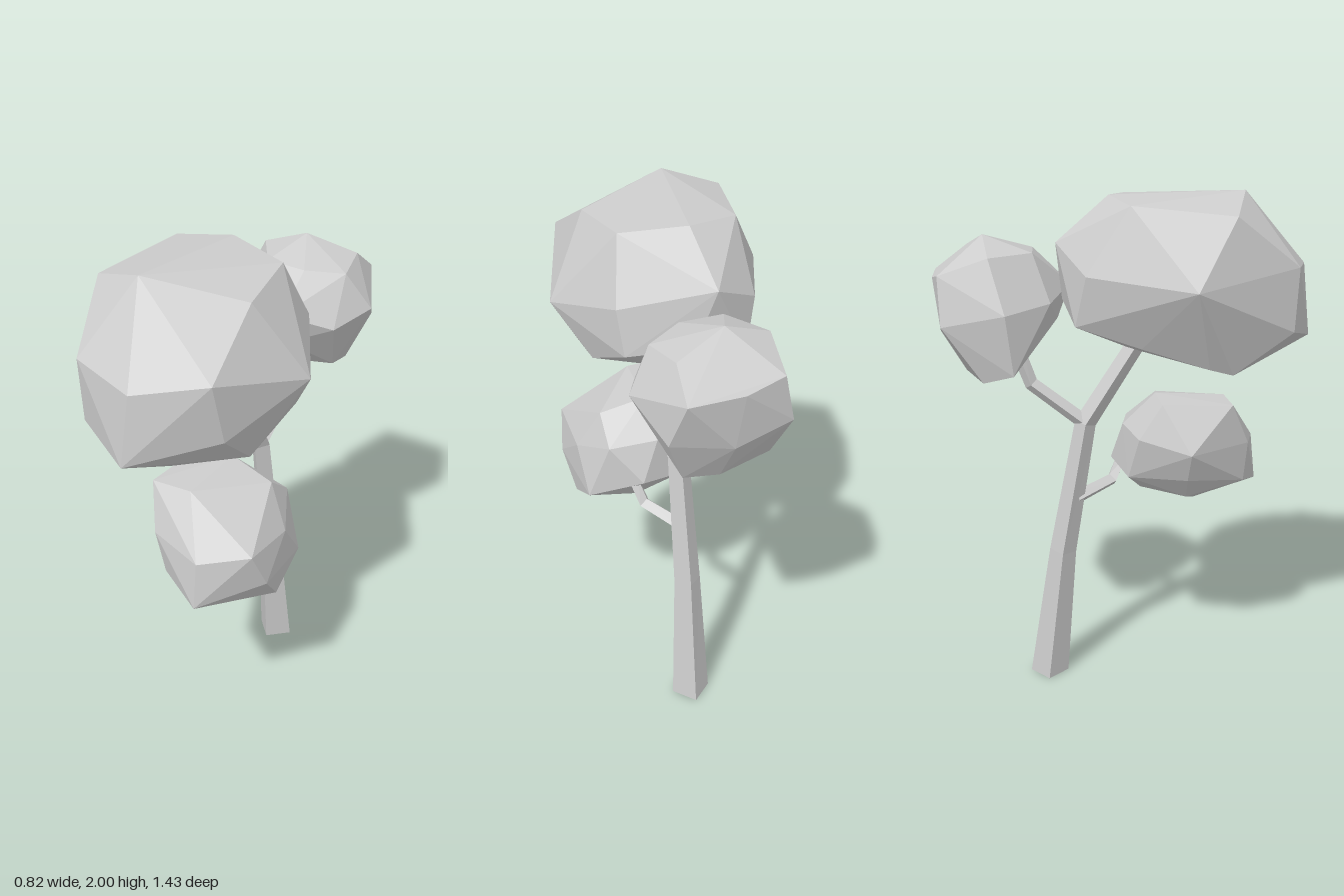
import * as THREE from 'three';
import { ConvexGeometry } from 'three/addons/geometries/ConvexGeometry.js';

const clay = new THREE.MeshStandardMaterial({ color: 0xcccccc, flatShading: true });
clay.name = 'light grey';

// Four-sided limb swept along [x, y, z, radius] stations bending in the yz plane
function limb(name, path) {
  const last = path.length - 1;
  const geo = new THREE.CylinderGeometry(1, 1, last, 4, last);
  const pos = geo.attributes.position;
  for (let i = 0; i < pos.count; i++) {
    const k = Math.round(pos.getY(i) + last / 2);
    const [x, y, z, r] = path[k];
    const a = path[Math.max(k - 1, 0)], b = path[Math.min(k + 1, last)];
    // the ring standing on the ground stays level
    const tilt = y === 0 ? 0 : Math.atan2(b[2] - a[2], b[1] - a[1]);
    const u = pos.getX(i) * r, v = pos.getZ(i) * r;
    pos.setXYZ(i, x + u, y - v * Math.sin(tilt), z + v * Math.cos(tilt));
  }
  geo.computeVertexNormals();
  const mesh = new THREE.Mesh(geo, clay);
  mesh.name = name;
  return mesh;
}

// Faceted leaf clump spanned by its corner points
function clump(name, corners) {
  const points = corners.map((c) => new THREE.Vector3(...c));
  const mesh = new THREE.Mesh(new ConvexGeometry(points), clay);
  mesh.name = name;
  return mesh;
}

export function createModel() {
  const tree = new THREE.Group();
  tree.name = 'tree';

  // Trunk and back branch
  tree.add(
    limb('trunk', [
      [0, 0, -0.307, 0.077], [0, 0.55, -0.243, 0.053],
      [0.01, 1.09, -0.147, 0.042], [0.015, 1.42, 0.06, 0.036],
    ]),
    limb('backBranch', [
      [0.01, 1.09, -0.15, 0.03], [0.01, 1.25, -0.355, 0.028], [0.01, 1.4, -0.41, 0.028],
    ]),
  );

  // Front branch, swung out to the left
  const frontBranch = limb('frontBranch', [
    [0, 0.775, 0, 0.03], [0, 0.81, 0.19, 0.027], [0, 0.9, 0.24, 0.025],
  ]);
  frontBranch.position.z = -0.19;
  frontBranch.rotation.y = 0.67;
  tree.add(frontBranch);

  // Large crown
  tree.add(clump('mainCrown', [
    // top
    [-0.095, 2.0, 0.44], [0.25, 1.935, 0.29], [0.19, 1.957, 0.005],
    [-0.055, 1.98, -0.055], [-0.25, 1.965, 0.02], [-0.31, 1.935, 0.39],
    // middle
    [0.04, 1.71, 0.69], [0.295, 1.77, 0.58], [0.41, 1.645, 0.165], [0.23, 1.725, -0.115],
    [-0.1, 1.815, -0.25], [-0.275, 1.72, -0.14], [-0.41, 1.685, 0.25], [-0.22, 1.74, 0.63],
    // lower ring
    [0.015, 1.437, 0.715], [0.3, 1.535, 0.52], [0.285, 1.455, 0.045], [0.21, 1.55, -0.146],
    [-0.02, 1.59, -0.23], [-0.235, 1.53, -0.18], [-0.25, 1.45, 0.06], [-0.215, 1.5, 0.62],
    // underside
    [0.01, 1.295, 0.44], [0.265, 1.36, 0.315], [0.02, 1.385, 0.03], [-0.22, 1.34, 0.4],
    [-0.25, 1.37, 0.31],
  ]));

  // Back crown
  tree.add(clump('backCrown', [
    // top
    [-0.03, 1.835, -0.52], [0.155, 1.77, -0.595], [0.2, 1.755, -0.43],
    [0.07, 1.77, -0.34], [-0.09, 1.775, -0.335], [-0.2, 1.775, -0.49],
    // middle
    [0.06, 1.635, -0.2], [0.22, 1.57, -0.32], [0.285, 1.61, -0.49], [0.155, 1.675, -0.72],
    [-0.045, 1.68, -0.71], [-0.19, 1.71, -0.675], [-0.275, 1.58, -0.43], [-0.155, 1.6, -0.27],
    // lower ring
    [0.2, 1.5, -0.66], [-0.02, 1.47, -0.69], [-0.23, 1.53, -0.665],
    [0.05, 1.5, -0.25], [-0.25, 1.35, -0.405],
    // underside
    [0.15, 1.35, -0.45], [0.13, 1.315, -0.59], [0, 1.31, -0.6],
    [-0.21, 1.315, -0.52], [0, 1.345, -0.4],
  ]));

  // Low front crown
  tree.add(clump('frontCrown', [
    // top
    [-0.09, 1.185, 0.42], [0.065, 1.183, 0.4], [0.065, 1.193, 0.13],
    [0.245, 1.146, 0.14], [-0.08, 1.185, 0.15],
    // middle
    [0.177, 0.98, 0.53], [-0.035, 1.015, 0.49], [-0.155, 1.0, 0.26],
    [0.335, 0.985, 0.18], [0.345, 1.012, 0.42], [0.05, 1.07, 0], [0.24, 1.05, 0.02],
    [-0.1, 1.05, 0.06],
    // lower ring
    [0.177, 0.79, 0.55], [0, 0.845, 0.48], [-0.1, 0.88, 0.25], [0.365, 0.86, 0.35],
    [0.12, 0.907, -0.045], [0.32, 0.82, 0.055], [-0.05, 0.88, 0.02],
    // underside
    [0.177, 0.705, 0.3], [0.335, 0.727, 0.235], [-0.025, 0.785, 0.25], [0.12, 0.775, 0.075],
  ]));

  return tree;
}
